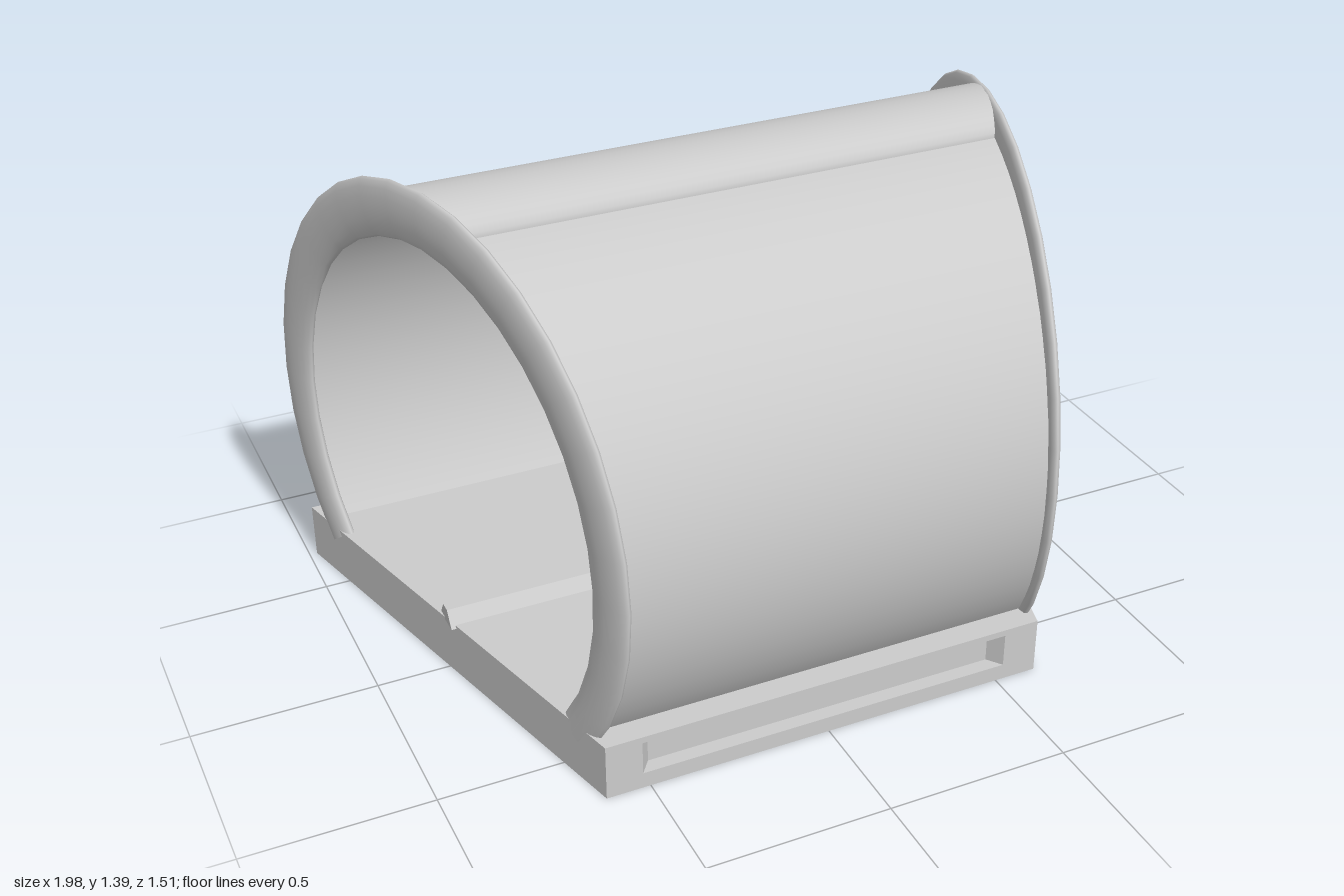
import * as THREE from 'three';
import { mergeGeometries } from 'three/addons/utils/BufferGeometryUtils.js';
import { ParametricGeometry } from 'three/addons/geometries/ParametricGeometry.js';

const material = new THREE.MeshStandardMaterial({ color: 0xcccccc, side: THREE.DoubleSide });

// Half-width of the tunnel at depth z: the open ends are slanted planes.
const halfWidth = (z) => 0.78 - 0.267 * z;
const CENTRE_Y = 0.58;

export function createModel() {
  const group = new THREE.Group();
  const add = (name, geometry) => {
    const mesh = new THREE.Mesh(geometry, material);
    mesh.name = name;
    group.add(mesh);
  };

  // Angle measured from the top of the arch; stops just inside the base.
  const sweep = 2.24;

  // Flattened tube rims around both open ends, slimmer towards the feet.
  const rim = (side) => new ParametricGeometry((u, v, target) => {
    const t = (u * 2 - 1) * sweep;
    const a = v * Math.PI * 2;
    const normal = new THREE.Vector2(Math.sin(t) / 0.69, Math.cos(t) / 0.735).normalize();
    const radius = 0.065 + 0.0125 * Math.cos(t);
    const z = 0.69 * Math.sin(t) + normal.x * radius * Math.cos(a);
    const y = CENTRE_Y + 0.735 * Math.cos(t) + normal.y * radius * Math.cos(a);
    target.set(side * (halfWidth(z) + 0.021 * Math.sin(a)), y, z);
  }, 26, 16);
  add('leftRim', rim(1));
  add('rightRim', rim(-1));

  // Front and back curved panels, from the ridge down to the base.
  const panel = (side) => new ParametricGeometry((u, v, target) => {
    const t = side * (0.12 + u * (sweep - 0.12));
    const z = 0.728 * Math.sin(t);
    target.set(halfWidth(z) * (v * 2 - 1), CENTRE_Y + 0.752 * Math.cos(t), z);
  }, 24, 2);
  add('frontPanel', panel(1));
  add('backPanel', panel(-1));

  // Flattened ridge bar along the top.
  add('ridgeBar', new ParametricGeometry((u, v, target) => {
    const a = u * Math.PI * 2;
    const z = -0.005 + 0.148 * Math.sin(a);
    target.set(halfWidth(z) * (v * 2 - 1), 1.313 + 0.075 * Math.cos(a), z);
  }, 28, 2));

  // Base in layers: windows open below, long slots in the front and back edges.
  const edge = (z) => halfWidth(z) + 0.018;
  const baseLayer = (y, height, slotted, open) => {
    const front = 0.672, back = -0.677;
    const points = [[-edge(front), front]];
    if (slotted) points.push([-0.52, front], [-0.49, front - 0.04], [0.49, front - 0.04], [0.52, front]);
    points.push([edge(front), front], [edge(back), back]);
    if (slotted) points.push([0.88, back], [0.85, back + 0.04], [-0.85, back + 0.04], [-0.88, back]);
    points.push([-edge(back), back]);
    const toShape = ([x, z]) => new THREE.Vector2(x, -z);
    const shape = new THREE.Shape(points.map(toShape));
    if (open) {
      for (const [z0, z1] of [[-0.54, -0.1], [0.09, 0.5]]) {
        const x0 = edge(z0) - 0.11, x1 = edge(z1) - 0.11;
        shape.holes.push(new THREE.Path([[-x0, z0], [x0, z0], [x1, z1], [-x1, z1]].map(toShape)));
      }
    }
    const geometry = new THREE.ExtrudeGeometry(shape, { depth: height, bevelEnabled: false });
    return geometry.rotateX(-Math.PI / 2).translate(0, y, 0);
  };
  add('base', mergeGeometries([
    baseLayer(0, 0.045, false, true),
    baseLayer(0.045, 0.095, true, true),
    baseLayer(0.14, 0.018, false, false),
  ]));

  // Raised rib across the middle of the floor.
  const rib = new THREE.Shape([[-0.045, 0.15], [0.045, 0.15], [0.015, 0.195], [-0.015, 0.195]]
    .map(([z, y]) => new THREE.Vector2(z, y)));
  add('floorRib', new THREE.ExtrudeGeometry(rib, { depth: 1.6, bevelEnabled: false })
    .translate(0, 0, -0.8).rotateY(Math.PI / 2));

  return group;
}
